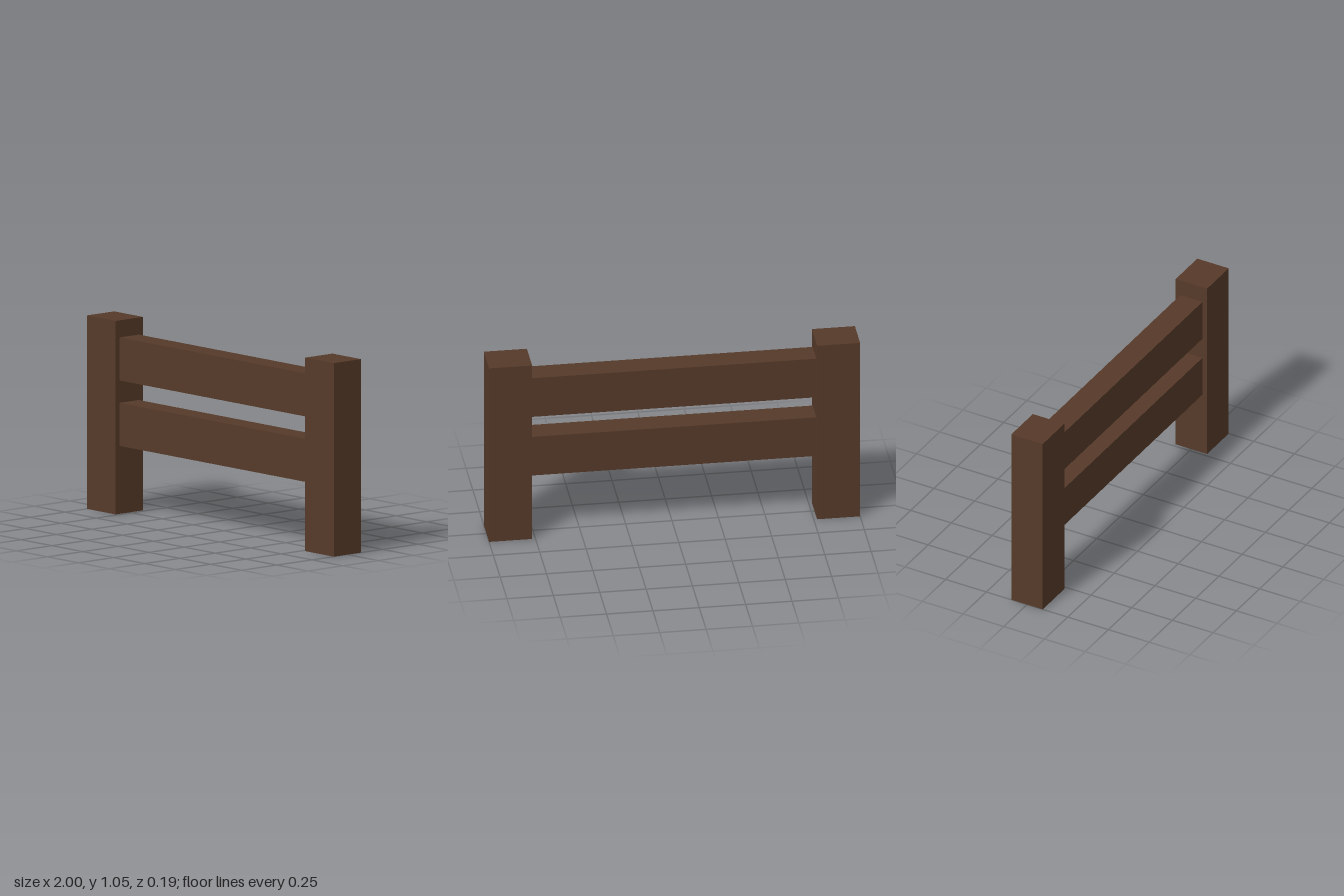
import * as THREE from 'three';

export function createModel() {
  const group = new THREE.Group();
  const wood = new THREE.MeshStandardMaterial({ color: 0x563a29, flatShading: true });

  function beam(name, w, h, d, x, y) {
    const mesh = new THREE.Mesh(new THREE.BoxGeometry(w, h, d), wood);
    mesh.name = name;
    mesh.position.set(x, y, 0);
    group.add(mesh);
  }

  // Upright posts, mirrored left and right
  const postW = 0.232, postH = 1.047;
  for (const [name, side] of [['leftPost', 1], ['rightPost', -1]]) {
    beam(name, postW, postH, 0.193, side * (1 - postW / 2), postH / 2);
  }

  // Horizontal rails spanning between the posts
  const railW = 2 * (1 - postW);
  for (const [name, y] of [['lowerRail', 0.484], ['upperRail', 0.838]]) {
    beam(name, railW, 0.233, 0.136, 0, y);
  }

  return group;
}
